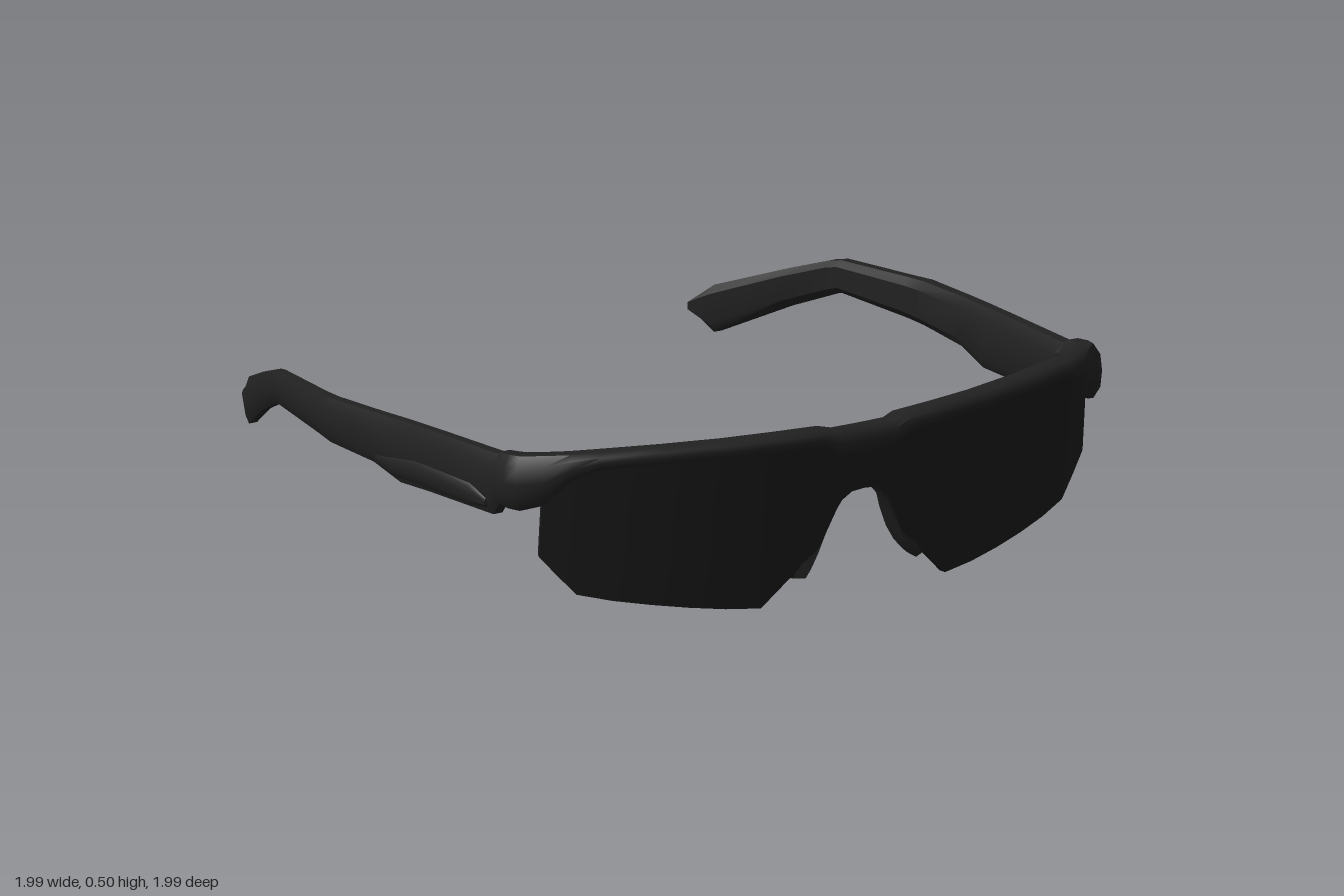
import * as THREE from 'three';
import { toCreasedNormals } from 'three/addons/utils/BufferGeometryUtils.js';

// Closed skin over a row of equal-length rings of [x, y, z]; faces always point outward.
function loft(rings, crease = 0.6) {
  const n = rings[0].length, last = (rings.length - 1) * n, pts = rings.flat();
  const tris = [];
  for (let r = 0; r < rings.length - 1; r++) {
    for (let i = 0; i < n; i++) {
      const a = r * n + i, b = r * n + (i + 1) % n;
      tris.push([a, b, b + n], [a, b + n, a + n]);
    }
  }
  for (let i = 1; i < n - 1; i++) tris.push([0, i + 1, i], [last, last + i, last + i + 1]);
  const v = pts.map(p => new THREE.Vector3(...p));
  const volume = tris.reduce((s, [a, b, c]) => s + v[a].dot(v[b].clone().cross(v[c])), 0);
  if (volume < 0) tris.forEach(t => t.reverse());
  const geo = new THREE.BufferGeometry();
  geo.setAttribute('position', new THREE.Float32BufferAttribute(pts.flat(), 3));
  geo.setIndex(tris.flat());
  return toCreasedNormals(geo, crease);
}

// Rounded section: u runs inner (0) to outer (1), v runs bottom (0) to top (1).
const SECTION = [[0.3, 0], [0.75, 0], [0.95, 0.2], [1, 0.5], [0.95, 0.8], [0.75, 1], [0.3, 1], [0, 0.82], [0, 0.18]];
const section = (inner, outer, yb, yt) => SECTION.map(([u, v]) => [
  inner[0] + (outer[0] - inner[0]) * u,
  yb + (yt - yb) * v,
  inner[1] + (outer[1] - inner[1]) * u,
]);

const flipX = ring => ring.map(([x, y, z]) => [-x, y, z]);
// Extends half a row of rings, starting at x = 0, across the centre line.
const symmetric = rings => [...rings.slice(1).reverse().map(flipX), ...rings];

export function createModel() {
  const model = new THREE.Group();
  const frameMat = new THREE.MeshStandardMaterial({ color: 0x212121 });
  frameMat.name = 'frame black';
  const lensMat = new THREE.MeshStandardMaterial({ color: 0x1b1b1b });
  lensMat.name = 'lens black';
  const add = (name, geo, mat) => {
    const mesh = new THREE.Mesh(geo, mat);
    mesh.name = name;
    model.add(mesh);
  };
  const addPair = (name, rings) => {
    add(name + 'Left', loft(rings), frameMat);
    add(name + 'Right', loft(rings.map(flipX)), frameMat);
  };

  // Wraparound brow bar ending in the hinge blocks: outer x, z, inner x, z, bottom, top
  const brow = [
    [0, 0.994, 0, 0.91, 0.418, 0.492],
    [0.09, 0.994, 0.09, 0.907, 0.422, 0.492],
    [0.14, 0.992, 0.13, 0.903, 0.452, 0.503],
    [0.27, 0.972, 0.26, 0.887, 0.457, 0.504],
    [0.42, 0.942, 0.4, 0.86, 0.457, 0.504],
    [0.6, 0.888, 0.57, 0.81, 0.457, 0.503],
    [0.77, 0.825, 0.74, 0.743, 0.452, 0.5],
    [0.84, 0.785, 0.8, 0.71, 0.42, 0.496],
    [0.9, 0.74, 0.845, 0.675, 0.35, 0.492],
    [0.955, 0.685, 0.87, 0.64, 0.33, 0.486],
    [0.965, 0.64, 0.88, 0.61, 0.328, 0.482],
    [0.96, 0.585, 0.885, 0.58, 0.328, 0.476],
  ].map(([xo, zo, xi, zi, yb, yt]) => section([xi, zi], [xo, zo], yb, yt));
  add('browFrame', loft(symmetric(brow), 0.8), frameMat);

  // One-piece curved lens with the nose notch: x, bottom edge
  const lens = [
    [0, 0.312], [0.04, 0.308], [0.07, 0.288], [0.085, 0.265], [0.12, 0.19], [0.15, 0.13],
    [0.17, 0.092], [0.22, 0.08], [0.26, 0.042], [0.3, 0.003], [0.4, 0.012], [0.5, 0.026],
    [0.6, 0.042], [0.7, 0.06], [0.79, 0.082], [0.84, 0.14], [0.885, 0.195],
  ].map(([x, yb]) => {
    const z = y => 0.978 - 0.33 * x * x - 0.09 * (0.47 - y);
    const rows = [0, 1 / 3, 2 / 3, 1].map(t => yb + (0.47 - yb) * t);
    const back = x * 0.988;
    return [...rows.map(y => [x, y, z(y)]), ...rows.reverse().map(y => [back, y, z(y) - 0.022])];
  });
  add('lens', loft(symmetric(lens), 0.7), lensMat);

  // Temple arms with drooping tips: z, inner x, outer x, bottom, top
  const arm = [
    [0.62, 0.887, 0.945, 0.336, 0.466],
    [0.575, 0.885, 0.947, 0.33, 0.466],
    [0.545, 0.886, 0.953, 0.287, 0.464],
    [0.25, 0.908, 0.968, 0.277, 0.453],
    [0.12, 0.917, 0.976, 0.27, 0.447],
    [0, 0.926, 0.984, 0.298, 0.44],
    [-0.2, 0.932, 0.996, 0.303, 0.428],
    [-0.27, 0.928, 0.983, 0.306, 0.423],
    [-0.54, 0.888, 0.943, 0.313, 0.406],
    [-0.58, 0.876, 0.933, 0.298, 0.397],
    [-0.72, 0.822, 0.878, 0.236, 0.345],
    [-0.93, 0.727, 0.785, 0.125, 0.26],
    [-0.997, 0.7, 0.75, 0.175, 0.205],
  ].map(([z, xi, xo, yb, yt]) => section([xi, z], [xo, z], yb, yt));
  addPair('templeArm', arm);

  // Raised strip along the lower outside of each arm
  const strip = [
    [0.53, 0.955, 0.305, 0.335],
    [0.46, 0.964, 0.295, 0.36],
    [0.2, 0.977, 0.29, 0.36],
    [0.1, 0.981, 0.285, 0.345],
    [0.02, 0.982, 0.305, 0.33],
  ].map(([z, xo, yb, yt]) => section([xo - 0.04, z], [xo, z], yb, yt));
  addPair('armStrip', strip);

  // Nose pads behind the notch: height, inner x, outer x, rear z
  const pad = [
    [0.3, 0.05, 0.09, 0.9],
    [0.26, 0.084, 0.14, 0.865],
    [0.2, 0.112, 0.18, 0.835],
    [0.14, 0.14, 0.205, 0.825],
    [0.1, 0.163, 0.215, 0.835],
    [0.078, 0.18, 0.21, 0.865],
  ].map(([y, xi, xo, zb]) => [
    [xi, y, 0.945], [xi + 0.002, y, 0.9], [xi + (xo - xi) * 0.3, y, zb],
    [xo - 0.008, y, zb], [xo + 0.008, y, zb + 0.025], [xo, y, 0.925],
  ]);
  addPair('nosePad', pad);

  return model;
}
